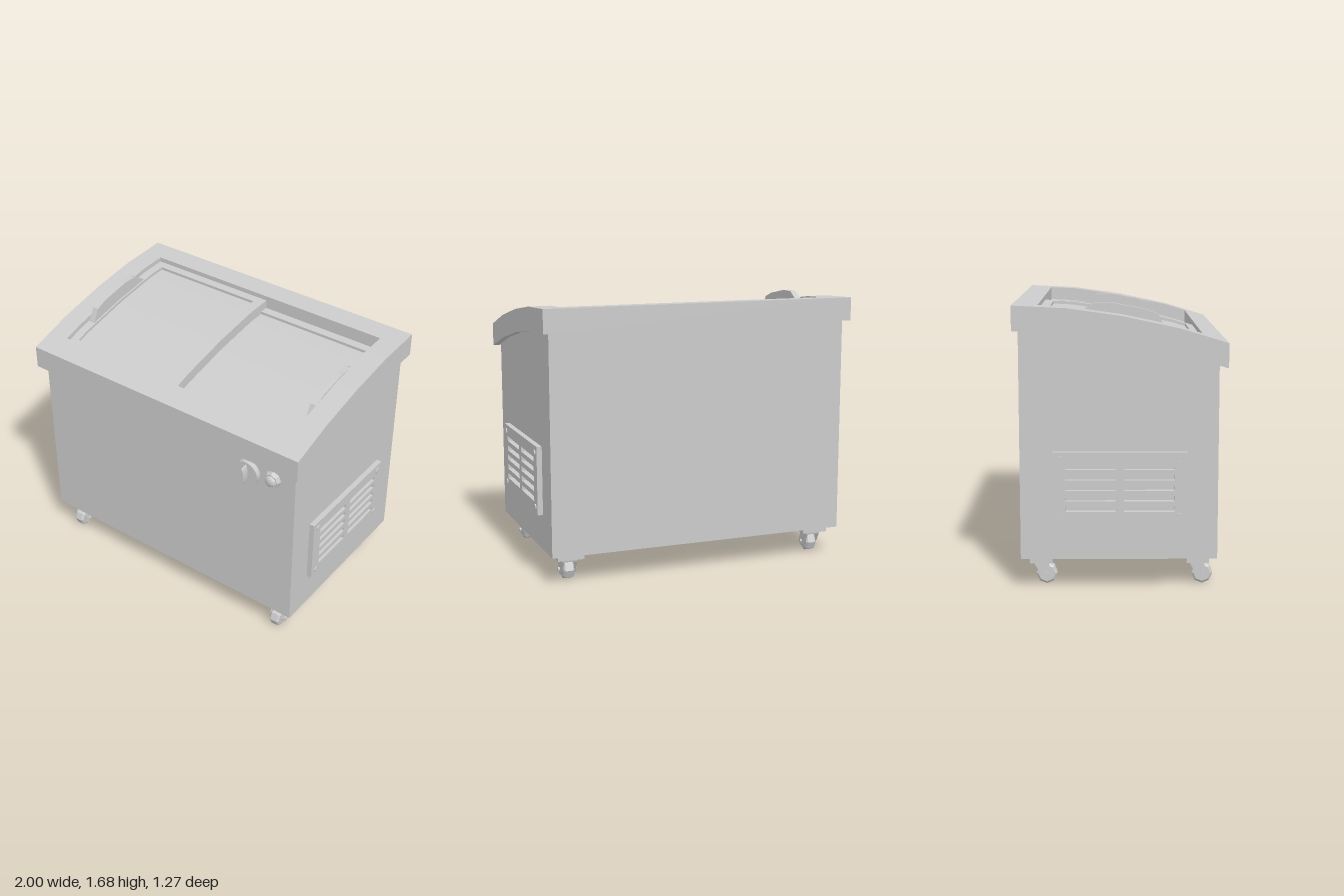
import * as THREE from 'three';

const grey = new THREE.MeshStandardMaterial({ color: 0xcccccc, flatShading: true });

// Curve of the lid's upper side as [z, y], front to back
const CURVE = [[0.61, 1.465], [0.33, 1.55], [0, 1.62], [-0.32, 1.665], [-0.635, 1.68]];

function curveY(z) {
  for (let i = 0; i < CURVE.length - 1; i++) {
    const [z0, y0] = CURVE[i], [z1, y1] = CURVE[i + 1];
    if (z >= z1) return y0 + (y1 - y0) * (z - z0) / (z1 - z0);
  }
  return CURVE[CURVE.length - 1][1];
}

// Points along the curve from z0 (front) to z1 (back), shifted vertically
function curvePoints(z0, z1, offset) {
  const inner = CURVE.map(p => p[0]).filter(z => z < z0 - 1e-4 && z > z1 + 1e-4);
  return [z0, ...inner, z1].map(z => [z, curveY(z) + offset]);
}

function mesh(name, geometry, parent) {
  const m = new THREE.Mesh(geometry, grey);
  m.name = name;
  parent.add(m);
  return m;
}

function group(name, parent) {
  const g = new THREE.Group();
  g.name = name;
  parent.add(g);
  return g;
}

function shapeZY(points) {
  return new THREE.Shape(points.map(([z, y]) => new THREE.Vector2(-z, y)));
}

// Extrudes a side-view shape along x, from x0 to x1
function extrudeX(shape, x0, x1) {
  return new THREE.ExtrudeGeometry(shape, { depth: x1 - x0, bevelEnabled: false, curveSegments: 6 })
    .rotateY(Math.PI / 2).translate(x0, 0, 0);
}

// Slab that follows the lid curve
function slab(x0, x1, z0, z1, top, bottom) {
  return extrudeX(shapeZY([...curvePoints(z0, z1, top), ...curvePoints(z0, z1, bottom).reverse()]), x0, x1);
}

// Curved rectangular frame; outer and inner are [x0, x1, front z, back z]
function frame(name, outer, inner, top, bottom, parent) {
  const g = group(name, parent);
  const [x0, x1, zf, zb] = outer, [a0, a1, bf, bb] = inner;
  mesh(name + 'RightSide', slab(x0, a0, zf, zb, top, bottom), g);
  mesh(name + 'LeftSide', slab(a1, x1, zf, zb, top, bottom), g);
  mesh(name + 'Front', slab(a0, a1, zf, bf, top, bottom), g);
  mesh(name + 'Back', slab(a0, a1, bb, zb, top, bottom), g);
}

function box(x0, x1, y0, y1, z0, z1) {
  return new THREE.BoxGeometry(x1 - x0, y1 - y0, z1 - z0)
    .translate((x0 + x1) / 2, (y0 + y1) / 2, (z0 + z1) / 2);
}

// Sliding door: frame, glass and grip
function slidingDoor(name, x0, x1, glassX0, glassX1, top, gripX, parent) {
  const g = group(name, parent);
  frame('doorFrame', [x0, x1, 0.465, -0.49], [glassX0, glassX1, 0.415, -0.435], top, top - 0.055, g);
  mesh('glass', slab(glassX0, glassX1, 0.415, -0.435, top - 0.018, top - 0.04), g);
  const shift = top + 0.03;
  const arch = [[0.25, 1.54], [0.21, 1.62], [0.13, 1.65], [-0.06, 1.685], [-0.16, 1.685], [-0.25, 1.63]]
    .map(([z, y]) => [z, y + shift]);
  const foot = curvePoints(0.25, -0.25, top - 0.01).reverse();
  mesh('grip', extrudeX(shapeZY([...arch, ...foot]), gripX - 0.02, gripX + 0.02), g);
}

// Slotted ventilation panel, built for the +x side
function ventPanel(name, side, parent) {
  const g = group(name, parent);
  const rect = (zf, zb, y0, y1) => [[zf, y0], [zb, y0], [zb, y1], [zf, y1]];
  const plate = shapeZY(rect(0.38, -0.41, 0.405, 0.83));
  for (let row = 0; row < 5; row++) {
    const y = 0.492 + row * 0.0625;
    for (const [zf, zb] of [[0.305, 0.01], [-0.04, -0.335]]) {
      plate.holes.push(shapeZY(rect(zf, zb, y - 0.016, y + 0.016)));
    }
  }
  mesh('ventPlate', extrudeX(plate, 0.958, 0.993), g);
  for (const z of [0.332, -0.365]) for (const y of [0.447, 0.787]) {
    mesh('ventScrew', new THREE.CylinderGeometry(0.02, 0.02, 0.02, 12).rotateZ(Math.PI / 2).translate(0.99, y, z), g);
  }
  // A half turn about y, with z re-centred, serves the other side
  if (side < 0) {
    g.rotation.y = Math.PI;
    g.position.z = -0.03;
  }
}

// Caster: mounting plate, slanted fork, octagonal wheel and axle
function caster(x, z, parent) {
  const g = group('caster', parent);
  g.position.set(x, 0, z);
  mesh('casterPlate', box(-0.083, 0.083, 0.143, 0.183, -0.067, 0.067), g);
  const cheek = [[0.035, 0.145], [-0.045, 0.145], [-0.04, 0.125], [0.005, 0.05], [0.022, 0.038],
    [0.042, 0.04], [0.058, 0.058], [0.058, 0.08]];
  for (const s of [-1, 1]) {
    mesh('forkCheek', extrudeX(shapeZY(cheek), s * 0.041 - 0.006, s * 0.041 + 0.006), g);
  }
  mesh('forkBridge', extrudeX(shapeZY([[0.035, 0.145], [-0.045, 0.145], [-0.04, 0.125], [0.04, 0.125]]), -0.04, 0.04), g);
  const section = [[0, -0.034], [0.05, -0.034], [0.063, -0.024], [0.063, 0.024], [0.05, 0.034], [0, 0.034]];
  const wheel = new THREE.LatheGeometry(section.map(p => new THREE.Vector2(...p)), 8);
  mesh('wheel', wheel.rotateZ(Math.PI / 2).translate(0, 0.066, 0.03), g);
  mesh('axle', new THREE.CylinderGeometry(0.013, 0.013, 0.116, 8).rotateZ(Math.PI / 2).translate(0, 0.066, 0.03), g);
}

export function createModel() {
  const model = new THREE.Group();
  model.name = 'chestFreezer';

  // Cabinet, its top following the underside of the lid
  const cabinet = shapeZY([[0.56, 0.183], ...curvePoints(0.56, -0.6, -0.142), [-0.6, 0.183]]);
  mesh('cabinet', extrudeX(cabinet, -0.96, 0.96), model);

  // Lid rim and the two doors, the right one riding above the left one
  frame('lidRim', [-1, 1, 0.61, -0.635], [-0.86, 0.86, 0.465, -0.49], 0, -0.145, model);
  slidingDoor('upperDoor', -0.86, 0.015, -0.805, -0.05, -0.03, -0.835, model);
  slidingDoor('lowerDoor', -0.05, 0.86, 0.012, 0.8, -0.085, 0.835, model);

  // Thermostat dial
  const dial = group('thermostatDial', model);
  dial.position.set(0.63, 1.2, 0);
  mesh('dialDisc', new THREE.CylinderGeometry(0.083, 0.083, 0.035, 24).rotateX(Math.PI / 2).translate(0, 0, 0.575), dial);
  const bar = mesh('dialBar', new THREE.CylinderGeometry(0.062, 0.068, 0.05, 16).rotateX(Math.PI / 2), dial);
  bar.scale.x = 0.24;
  bar.position.z = 0.612;

  // Indicator button with an octagonal collar
  const button = group('indicatorButton', model);
  button.position.set(0.805, 1.222, 0);
  mesh('buttonCollar', new THREE.CylinderGeometry(0.046, 0.056, 0.03, 8).rotateX(Math.PI / 2).translate(0, 0, 0.573), button);
  mesh('buttonCap', new THREE.SphereGeometry(0.038, 12, 5, 0, Math.PI * 2, 0, Math.PI / 2)
    .scale(1, 0.6, 1).rotateX(Math.PI / 2).translate(0, 0, 0.587), button);

  ventPanel('leftVent', 1, model);
  ventPanel('rightVent', -1, model);

  for (const x of [-0.828, 0.828]) for (const z of [0.448, -0.482]) caster(x, z, model);

  return model;
}
